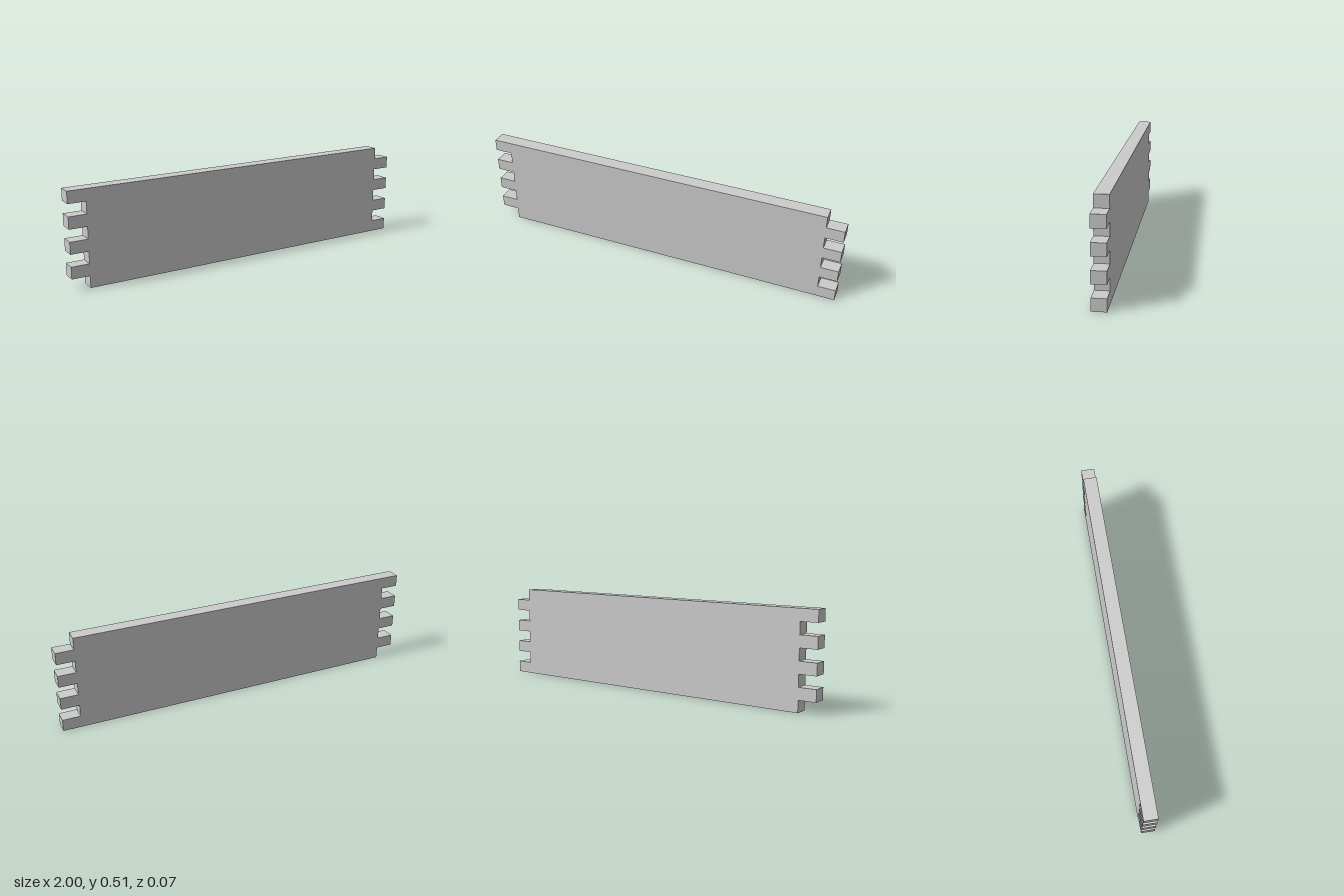
import * as THREE from 'three';

const ROWS = 8, PER_ROW = 10;
const LENGTH = 2 / (PER_ROW + 0.5); // alternate courses shift by half a brick
const HEIGHT = 0.511 / ROWS, DEPTH = 0.074;

export function createModel() {
  const wall = new THREE.Group();
  wall.name = 'brickWall';
  const material = new THREE.MeshStandardMaterial({ color: 0xcccccc });
  const brickGeometry = new THREE.BoxGeometry(LENGTH, HEIGHT, DEPTH);

  // Running bond: even courses reach the left end, odd courses the right end
  for (let row = 0; row < ROWS; row++) {
    const course = new THREE.Group();
    course.name = `course${row + 1}`;
    course.position.y = (row + 0.5) * HEIGHT;
    const start = row % 2 === 0 ? -1 + LENGTH / 2 : -1;
    for (let i = 0; i < PER_ROW; i++) {
      const brick = new THREE.Mesh(brickGeometry, material);
      brick.name = `brick${i + 1}`;
      brick.position.x = start + (i + 0.5) * LENGTH;
      course.add(brick);
    }
    wall.add(course);
  }
  return wall;
}
